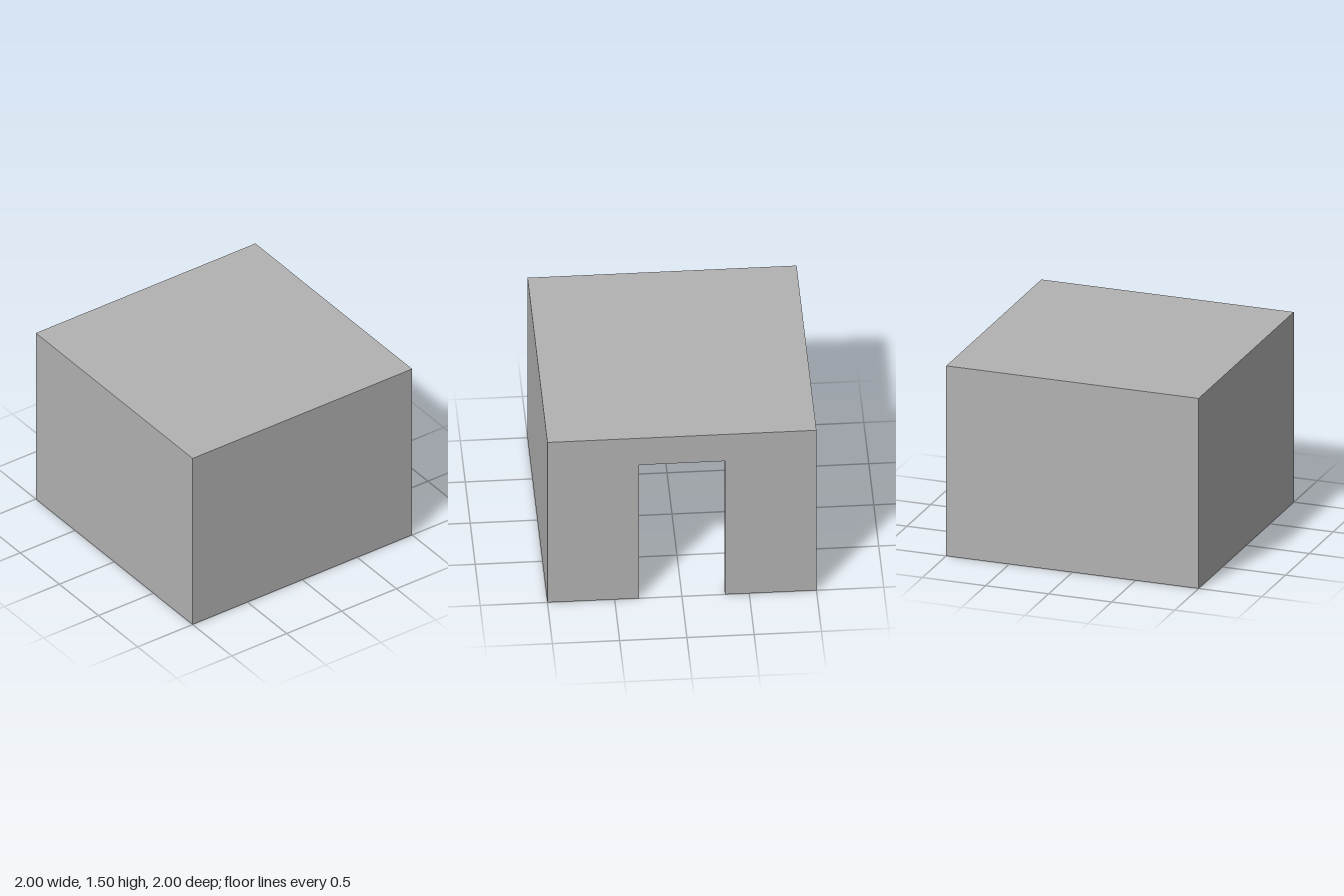
import * as THREE from 'three';

export function createModel() {
  const group = new THREE.Group();
  group.name = 'room';
  const grey = new THREE.MeshStandardMaterial({ color: 0xb2b2b2 });
  grey.name = 'plain grey';

  const half = 1, wall = 0.07, door = 0.32, wallHeight = 1.25, roofHeight = 0.25;
  const inner = half - wall;

  // Walls: floor plan with a doorway in the back, pulled up to the ceiling
  const right = [[door, half], [half, half], [half, -half]];
  const inside = [[inner, -inner], [inner, inner], [door, inner]];
  const mirror = (points) => points.map(([x, y]) => [-x, y]).reverse();
  const plan = [...right, ...mirror(right), ...mirror(inside), ...inside];
  const shape = new THREE.Shape(plan.map(([x, y]) => new THREE.Vector2(x, y)));
  const wallGeometry = new THREE.ExtrudeGeometry(shape, { depth: wallHeight, bevelEnabled: false });
  wallGeometry.rotateX(-Math.PI / 2);
  const walls = new THREE.Mesh(wallGeometry, grey);
  walls.name = 'walls';

  // Thick roof slab, its underside level with the top of the doorway
  const roof = new THREE.Mesh(new THREE.BoxGeometry(2 * half, roofHeight, 2 * half), grey);
  roof.name = 'roof';
  roof.position.y = wallHeight + roofHeight / 2;

  group.add(walls, roof);
  return group;
}
